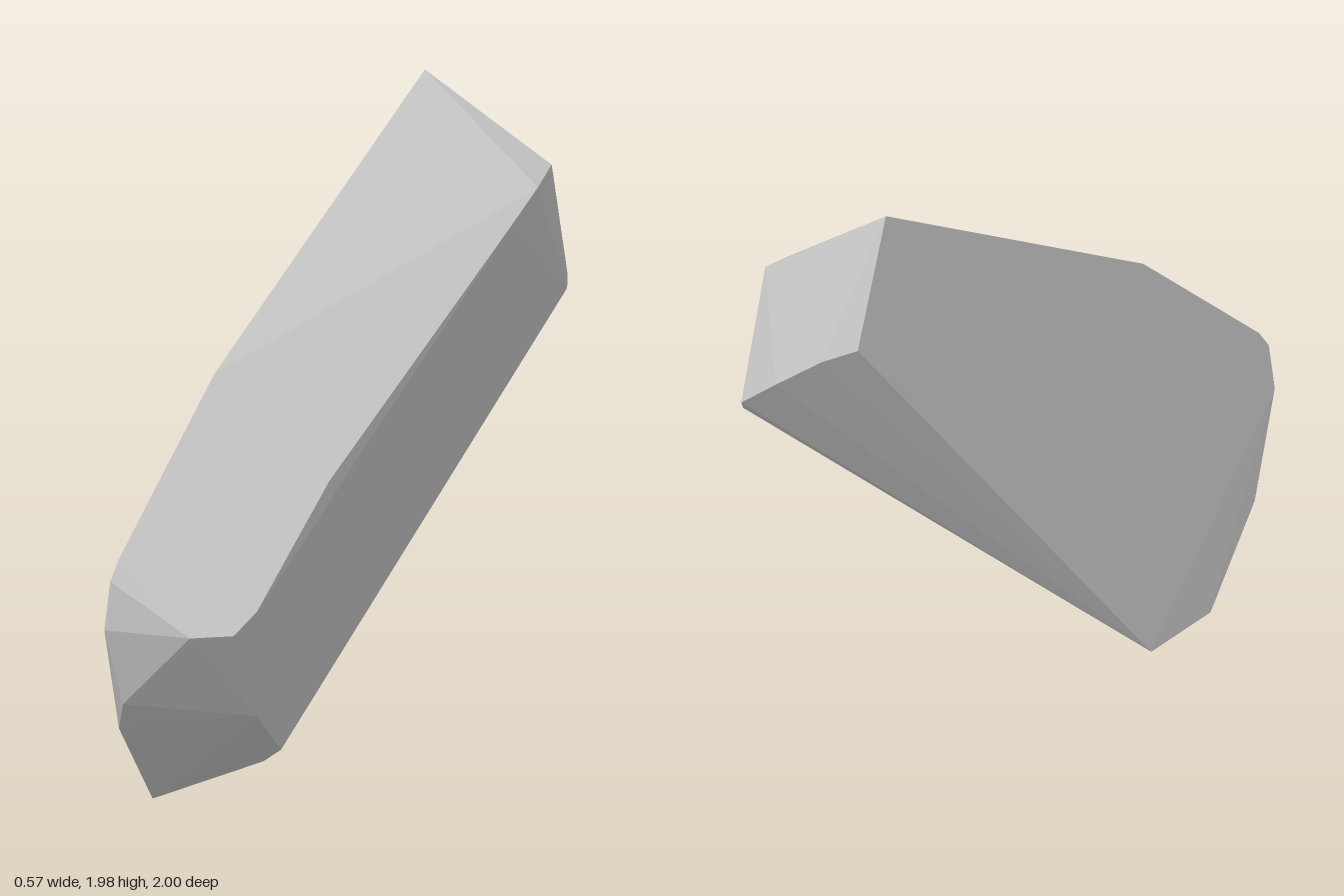
import * as THREE from 'three';
import { ConvexGeometry } from 'three/addons/geometries/ConvexGeometry.js';

export function createModel() {
  const group = new THREE.Group();
  group.name = 'leaningRock';
  const stone = new THREE.MeshStandardMaterial({ color: 0xc4c4c4 });
  stone.name = 'light grey stone';

  // Flat left side of the slab
  const leftRim = [
    [-0.12, 1.98, -0.73], [-0.19, 1.28, 0.44], [-0.234, 0.81, 0.95],
    [-0.24, 0.75, 0.99], [-0.255, 0.6, 1.0], [-0.272, 0.27, 0.88],
    [-0.29, 0, 0.64], [-0.29, 0, 0.35], [-0.137, 1.59, -0.89],
  ];
  // Right side, from the upper end down to the foot
  const rightRim = [
    [0.26, 1.71, -0.83], [0.285, 1.67, -0.7], [0.21, 1.62, -0.55], [0.272, 1.58, -0.56],
    [0.172, 0.98, 0.38], [0.13, 0.65, 0.75], [0.1, 0.59, 0.84],
    [0.075, 0.3, 0.65], [0.045, 0.15, 0.45], [0.232, 1.295, -0.975],
  ];
  // Chipped ends between the two sides
  const frontChips = [[0, 0.59, 0.93], [-0.23, 0.36, 0.93], [-0.01, 0.11, 0.46]];
  const backChips = [[-0.04, 1.54, -0.945], [0.1, 1.43, -0.985], [0.22, 1.33, -1.0]];

  const points = [...leftRim, ...rightRim, ...frontChips, ...backChips]
    .map((p) => new THREE.Vector3(...p));
  const rock = new THREE.Mesh(new ConvexGeometry(points), stone);
  rock.name = 'rockSlab';
  group.add(rock);
  return group;
}
